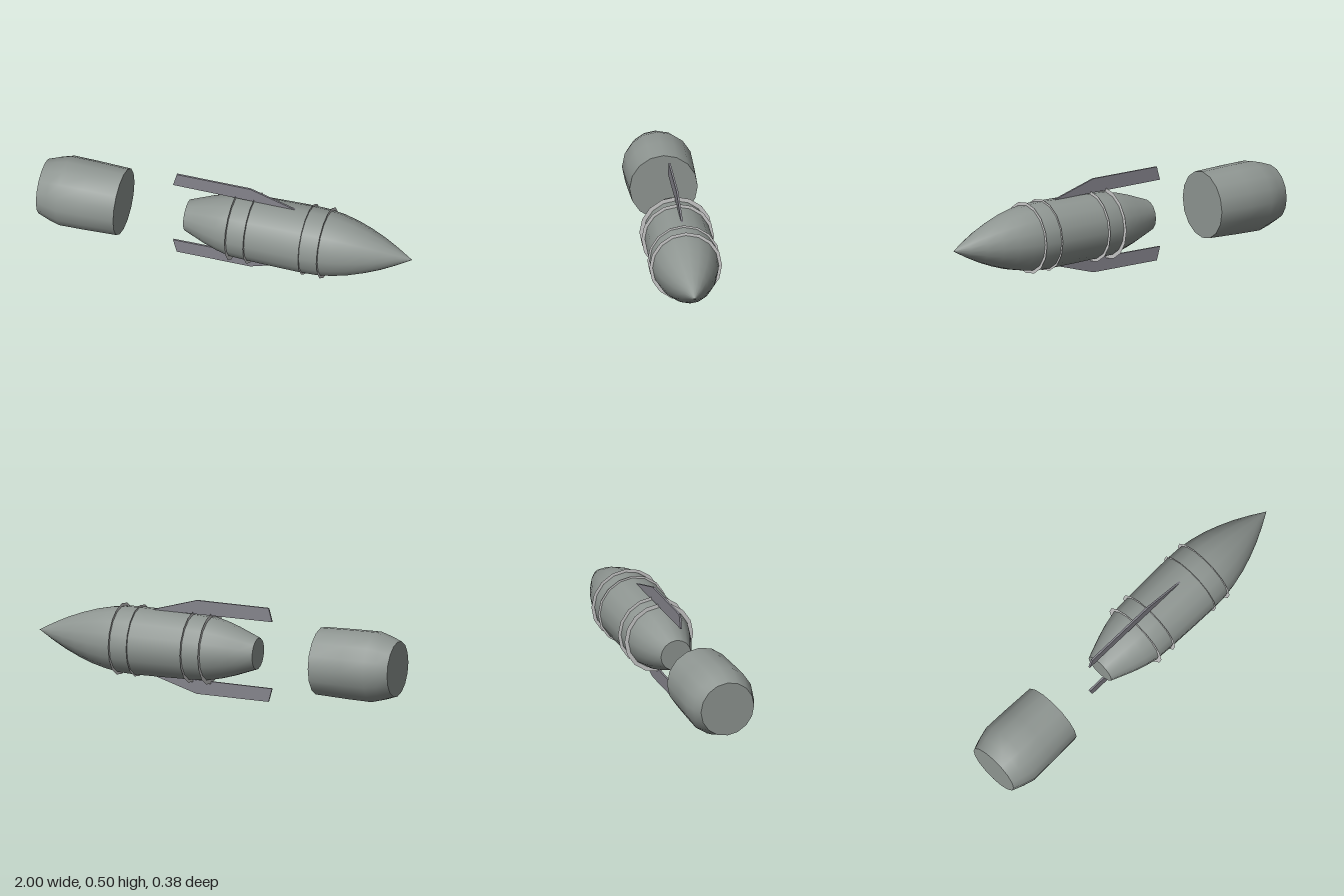
import * as THREE from 'three';
import { toCreasedNormals } from 'three/addons/utils/BufferGeometryUtils.js';

const SIDES = 16;
const AXIS_Y = 0.253;

// Turned solid along x; profile is a list of [x, radius] from back to tip.
function turned(name, profile, material) {
  const points = profile.map(([x, r]) => new THREE.Vector2(r, x));
  const geometry = new THREE.LatheGeometry(points, SIDES).rotateZ(-Math.PI / 2);
  const mesh = new THREE.Mesh(toCreasedNormals(geometry, 0.6), material);
  mesh.name = name;
  return mesh;
}

export function createModel() {
  const model = new THREE.Group();
  model.name = 'rocket';
  const hull = new THREE.MeshStandardMaterial({ color: 0x8f9692 });
  const finMaterial = new THREE.MeshStandardMaterial({ color: 0x85848c });
  const ringMaterial = new THREE.MeshStandardMaterial({ color: 0xcccccc, side: THREE.DoubleSide });

  const rocket = new THREE.Group();
  rocket.name = 'rocketAssembly';
  rocket.position.y = AXIS_Y;
  model.add(rocket);

  // Pointed body with a tapered tail
  rocket.add(turned('body', [
    [-0.22, 0], [-0.22, 0.083], [-0.16, 0.106], [-0.1, 0.129], [-0.03, 0.151],
    [0.04, 0.167], [0.14, 0.172], [0.3, 0.176], [0.44, 0.178], [0.52, 0.175],
    [0.6, 0.164], [0.68, 0.145], [0.76, 0.118], [0.84, 0.085], [0.92, 0.045], [1, 0],
  ], hull));

  // Separate rear section, slightly flared and chamfered at the back
  rocket.add(turned('rearSection', [
    [-1, 0], [-1, 0.146], [-0.94, 0.168], [-0.88, 0.185], [-0.75, 0.183], [-0.57, 0.177], [-0.57, 0],
  ], hull));

  // Thin flat rings, in two pairs around the body
  for (const x of [0.04, 0.14, 0.44, 0.54]) {
    const ring = new THREE.Mesh(
      new THREE.RingGeometry(0.162, 0.189, SIDES).rotateY(Math.PI / 2), ringMaterial);
    ring.name = 'bandRing';
    ring.position.x = x;
    rocket.add(ring);
  }

  // Upper and lower fins
  for (const s of [1, -1]) {
    const outline = [[-0.3, 0.179], [0.37, 0.175], [0.12, 0.251], [-0.28, 0.251]];
    const shape = new THREE.Shape(outline.map(([x, y]) => new THREE.Vector2(x, s * y)));
    const geometry = new THREE.ExtrudeGeometry(shape, { depth: 0.01, bevelEnabled: false });
    const fin = new THREE.Mesh(geometry.translate(0, 0, -0.005), finMaterial);
    fin.name = s > 0 ? 'upperFin' : 'lowerFin';
    rocket.add(fin);
  }
  return model;
}
